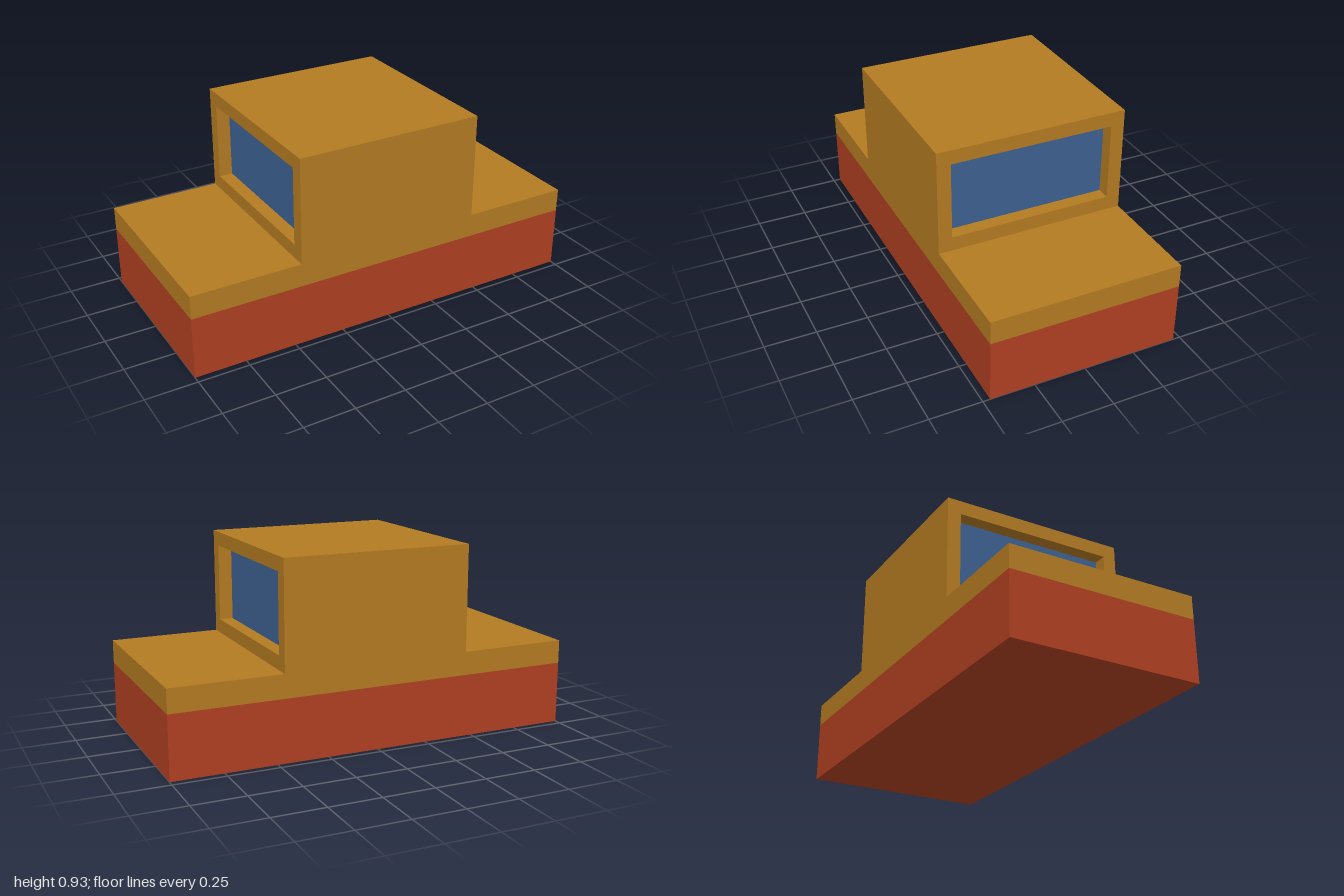
import * as THREE from 'three';

const LENGTH = 2, WIDTH = 0.93;
const HULL_TOP = 0.303, DECK_TOP = 0.417, ROOF = 0.933;
const CABIN_HALF = 0.463, RECESS = 0.067;
const WIN_HALF = 0.398, WIN_BOTTOM = 0.486, WIN_TOP = 0.864;

const material = (name, color) => {
  const m = new THREE.MeshStandardMaterial({ color });
  m.name = name;
  return m;
};

// Counter-clockwise rectangle, symmetric about the centre line
function rectangle(Type, half, y0, y1) {
  return new Type([
    new THREE.Vector2(-half, y0), new THREE.Vector2(half, y0),
    new THREE.Vector2(half, y1), new THREE.Vector2(-half, y1),
  ]);
}

export function createModel() {
  const model = new THREE.Group();
  model.name = 'cabinBoat';
  const ochre = material('ochre', 0xb47b22);
  const red = material('brickRed', 0xb04022);
  const blue = material('glassBlue', 0x3d6291);

  const add = (name, geometry, mat) => {
    const mesh = new THREE.Mesh(geometry, mat);
    mesh.name = name;
    model.add(mesh);
    return mesh;
  };

  // Stacked hull and deck slabs
  const slab = (name, y0, y1, mat) =>
    add(name, new THREE.BoxGeometry(LENGTH, y1 - y0, WIDTH).translate(0, (y0 + y1) / 2, 0), mat);
  slab('hull', 0, HULL_TOP, red);
  slab('deck', HULL_TOP, DECK_TOP, ochre);

  // Cabin shell, open through both ends
  const section = rectangle(THREE.Shape, WIDTH / 2, DECK_TOP, ROOF);
  section.holes.push(rectangle(THREE.Path, WIN_HALF, WIN_BOTTOM, WIN_TOP));
  const shell = new THREE.ExtrudeGeometry(section, { depth: CABIN_HALF * 2, bevelEnabled: false });
  shell.translate(0, 0, -CABIN_HALF).rotateY(Math.PI / 2);
  add('cabin', shell, ochre);

  // Recessed window pane at each end
  for (const side of [1, -1]) {
    const pane = add(side > 0 ? 'leftWindow' : 'rightWindow',
      new THREE.PlaneGeometry(WIN_HALF * 2, WIN_TOP - WIN_BOTTOM), blue);
    pane.position.set(side * (CABIN_HALF - RECESS), (WIN_BOTTOM + WIN_TOP) / 2, 0);
    pane.rotation.y = side * Math.PI / 2;
  }

  return model;
}
